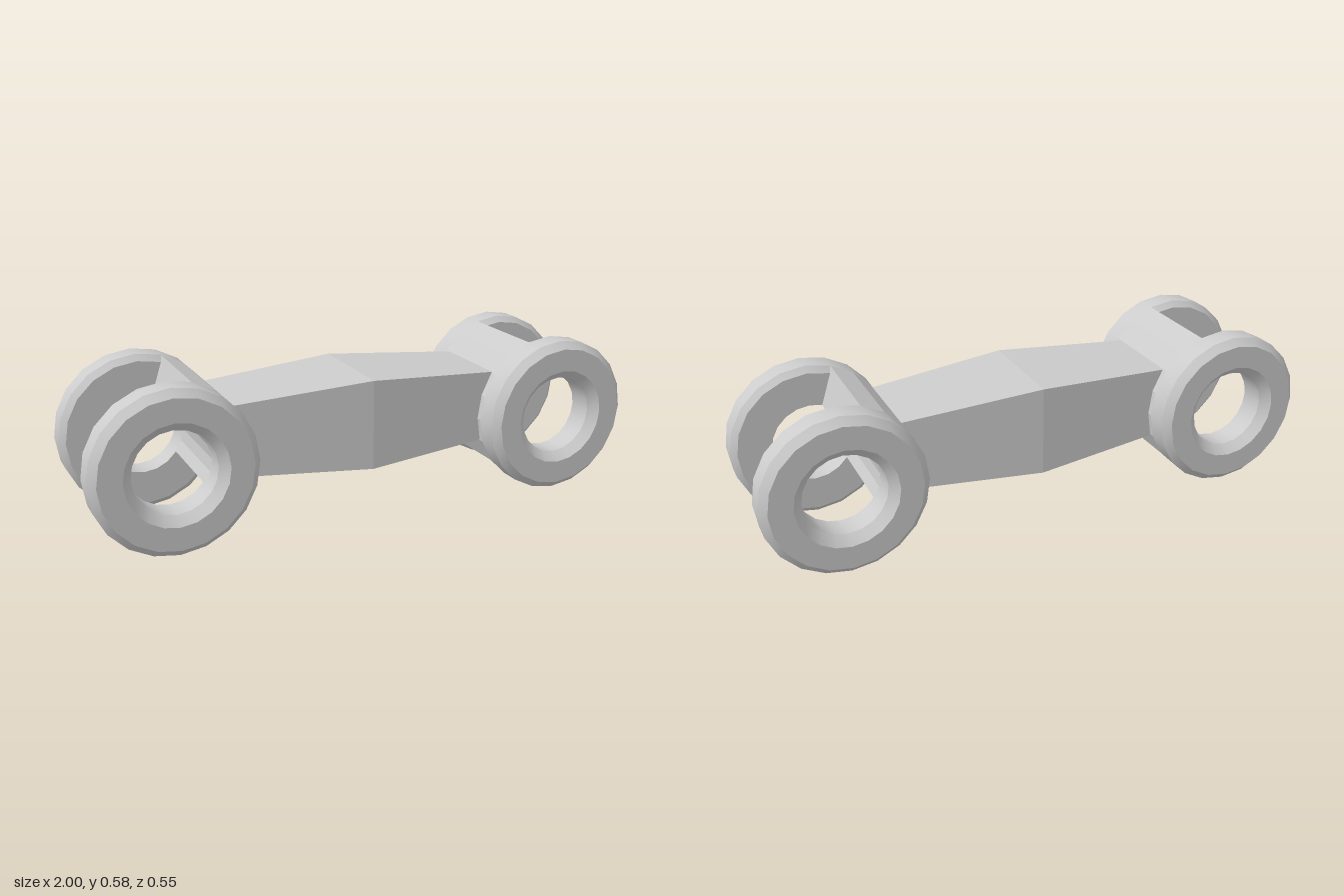
import * as THREE from 'three';
import { toCreasedNormals } from 'three/addons/utils/BufferGeometryUtils.js';

const STEP = Math.PI / 10; // 20-sided rings
const R = 0.281, BORE = 0.142;

// Ring with bevelled rims and a countersunk bore on its outer face (facing +z)
function ringGeometry() {
  const profile = [
    [BORE, 0.155], [0.26, 0.155], [R, 0.175], [R, 0.25],
    [0.255, 0.276], [0.174, 0.276], [BORE, 0.245], [BORE, 0.155],
  ].map(([r, z]) => new THREE.Vector2(r, z));
  const geo = new THREE.LatheGeometry(profile, 20).rotateX(Math.PI / 2);
  return toCreasedNormals(geo, 0.4);
}

// Sector of the hub that joins the two rings, from 108 to 216 degrees
function bridgeGeometry(side) {
  const points = [];
  const add = (r, i) => points.push(
    new THREE.Vector2(side * r * Math.cos(i * STEP), r * Math.sin(i * STEP)));
  for (let i = 6; i <= 12; i++) add(R, i);
  for (let i = 12; i >= 6; i--) add(BORE, i);
  return new THREE.ExtrudeGeometry(new THREE.Shape(points), { depth: 0.35, bevelEnabled: false })
    .translate(0, 0, -0.175);
}

// Bar that is thickest in the middle and narrows to both ends
function beamGeometry() {
  const geo = new THREE.BoxGeometry(1.01, 1, 1, 2, 1, 1);
  const pos = geo.attributes.position;
  for (let i = 0; i < pos.count; i++) {
    const x = pos.getX(i);
    const mid = Math.abs(x) < 0.01;
    const halfH = mid ? 0.16 : 0.124;
    const halfD = mid ? 0.19 : 0.153;
    const centre = mid ? 0.331 : x < 0 ? 0.336 : 0.326;
    pos.setY(i, centre + Math.sign(pos.getY(i)) * halfH);
    pos.setZ(i, Math.sign(pos.getZ(i)) * halfD);
  }
  return geo;
}

export function createModel() {
  const model = new THREE.Group();
  const smooth = new THREE.MeshStandardMaterial({ color: 0xcccccc });
  const flat = new THREE.MeshStandardMaterial({ color: 0xcccccc, flatShading: true });
  const addMesh = (parent, name, geo, mat) => {
    const mesh = new THREE.Mesh(geo, mat);
    mesh.name = name;
    parent.add(mesh);
    return mesh;
  };

  addMesh(model, 'beam', beamGeometry(), flat);

  // A forked hub at each end, the right one (-x) slightly higher
  for (const side of [-1, 1]) {
    const hub = new THREE.Group();
    hub.name = side > 0 ? 'leftHub' : 'rightHub';
    hub.position.set(side * 0.719, side > 0 ? 0.283 : 0.299, 0);
    addMesh(hub, 'frontRing', ringGeometry(), smooth);
    addMesh(hub, 'backRing', ringGeometry(), smooth).rotation.y = Math.PI;
    addMesh(hub, 'bridge', bridgeGeometry(side), flat);
    model.add(hub);
  }
  return model;
}
